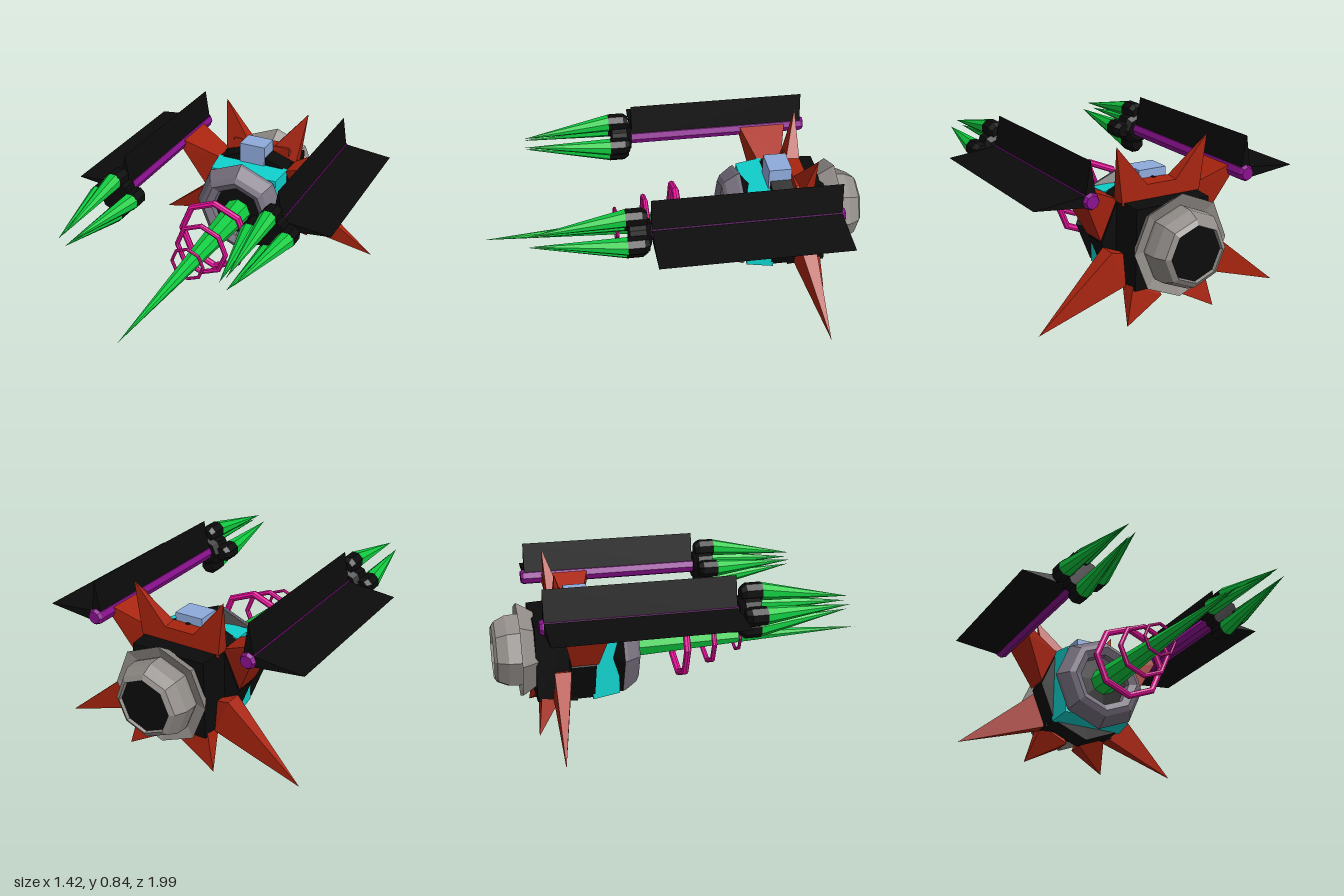
import * as THREE from 'three';
import { ConvexGeometry } from 'three/addons/geometries/ConvexGeometry.js';

const mat = (color) => new THREE.MeshStandardMaterial({ color, flatShading: true, side: THREE.DoubleSide });
const BLACK = mat(0x0b0b0b), RED = mat(0xa8240f), GREEN = mat(0x10cc40), CYAN = mat(0x10d0cc),
  PINK = mat(0xee10a0), PURPLE = mat(0x8a108f), BLUE = mat(0x8fabdc), SLATE = mat(0x77707e), GREY = mat(0x918c88);

const AXIS_Y = 0.37; // height of the hull axis

export function createModel() {
  const model = new THREE.Group();
  model.name = 'spacecraft';

  const add = (name, geometry, material, parent = model) => {
    const mesh = new THREE.Mesh(geometry, material);
    mesh.name = name;
    parent.add(mesh);
    return mesh;
  };
  // convex solid through a few corner points
  const hull = (points) => new ConvexGeometry(points.map((p) => new THREE.Vector3(...p)));
  // eight-sided solid of revolution along z, profile given as [radius, z] from back to front
  const turned = (profile, y = AXIS_Y, x = 0) =>
    new THREE.LatheGeometry(profile.map(([r, z]) => new THREE.Vector2(r, z)), 8)
      .rotateX(Math.PI / 2).translate(x, y, 0);
  // square frame of corners at depth z
  const frame = (h, z) => [[-h, AXIS_Y - h, z], [h, AXIS_Y - h, z], [h, AXIS_Y + h, z], [-h, AXIS_Y + h, z]];
  // line [a, b] in xy spread over two depths, giving four corners
  const quad = (a, b, z0, z1) => [[...a, z0], [...a, z1], [...b, z0], [...b, z1]];

  // central hull
  add('frontHull', hull([...frame(0.21, -0.52), ...frame(0.195, -0.38)]), CYAN);
  add('rearHull', hull([...frame(0.2, -0.8), ...frame(0.208, -0.6)]), BLACK);
  add('beltPlate', turned([[0, -0.635], [0.285, -0.635], [0.285, -0.51], [0, -0.51]]), BLACK);
  add('cockpit', new THREE.BoxGeometry(0.15, 0.13, 0.12).translate(0, 0.625, -0.56), BLUE);
  add('redCollar', hull([...quad([-0.17, 0.56], [0.17, 0.65], -0.63, -0.62),
    [-0.22, 0.56, -0.7], [0.22, 0.56, -0.7], [0.14, 0.645, -0.7], [-0.14, 0.645, -0.7], [-0.17, 0.65, -0.63], [0.17, 0.56, -0.63]]), RED);

  // front collar and recessed hub
  add('collarBack', turned([[0.2, -0.41], [0.265, -0.36]]), BLACK);
  add('frontCollar', turned([[0.268, -0.362], [0.262, -0.345], [0.22, -0.285], [0.19, -0.268], [0.15, -0.29], [0.14, -0.33]]), SLATE);
  add('frontHub', turned([[0.2, -0.4], [0.15, -0.32], [0, -0.31]]), BLACK);

  // nose lance with three octagonal rings
  const lance = new THREE.ConeGeometry(0.076, 1.32, 8).rotateX(Math.PI / 2).rotateX(0.013);
  add('noseLance', lance.translate(0, 0.356, 0.335), GREEN);
  for (const [outer, tube, z] of [[0.212, 0.019, -0.02], [0.155, 0.014, 0.14], [0.098, 0.009, 0.298]]) {
    add('lanceRing', new THREE.TorusGeometry(outer - tube, tube, 8, 8).translate(0, AXIS_Y, z), PINK);
  }

  // rear engine
  add('engineFlare', turned([[0.19, -0.85], [0.253, -0.87], [0.245, -0.855], [0.2, -0.785]], 0.384), GREY);
  add('engineBell', turned([[0.13, -0.97], [0.14, -1], [0.165, -0.985], [0.192, -0.93], [0.196, -0.87], [0.18, -0.8]], 0.384), GREY);
  add('engineNozzle', turned([[0, -0.985], [0.138, -0.985]], 0.384), BLACK);

  for (const s of [1, -1]) {
    const side = new THREE.Group();
    side.name = s > 0 ? 'leftSide' : 'rightSide';
    model.add(side);
    const px = 0.428, py = 0.645; // pod axis

    // strut between belt and pod
    add('podStrut', hull([
      ...quad([s * 0.29, 0.38], [s * 0.205, 0.575], -0.635, -0.5),
      ...quad([s * 0.405, 0.61], [s * 0.395, 0.665], -0.69, -0.44)]), RED, side);

    // radiating spikes: base edge, base depths, tip
    const spikes = [
      ['upperSpike', [0.215, 0.57], [0.075, 0.64], -0.7, -0.625, [0.25, 0.848, -0.7]],
      ['wideSpike', [0.28, 0.35], [0.2, 0.17], -0.72, -0.635, [0.67, 0.025, -0.73]],
      ['lowerSpike', [0.2, 0.19], [0.04, 0.11], -0.78, -0.68, [0.245, 0.003, -0.805]],
    ];
    for (const [name, a, b, z0, z1, tip] of spikes) {
      const inner = [s * (a[0] + b[0]) * 0.3, (a[1] + b[1]) * 0.3 + AXIS_Y * 0.4, (z0 + z1) / 2];
      add(name, hull([...quad([s * a[0], a[1]], [s * b[0], b[1]], z0, z1), inner,
        [s * tip[0], tip[1], tip[2]]]), RED, side);
    }

    // pod rail with one vane outwards and one upwards
    add('podRail', turned([[0, -0.8], [0.032, -0.8], [0.041, -0.785], [0.041, 0.18], [0, 0.18]], py, s * px), PURPLE, side);
    add('outerVane', hull([
      ...quad([s * px, py - 0.03], [s * px, py + 0.03], -0.78, 0.16),
      [s * 0.71, py, -0.78], [s * 0.71, py, 0.16]]), BLACK, side);
    add('upperVane', hull([
      ...quad([s * px - 0.03, py], [s * px + 0.03, py], -0.78, 0.16),
      [s * px, 0.83, -0.78], [s * px, 0.83, 0.16]]), BLACK, side);

    // pod head: four sockets each holding a long tooth
    add('headCore', turned([[0, 0.165], [0.065, 0.165], [0.09, 0.19], [0.09, 0.27], [0, 0.27]], py, s * px), BLACK, side);
    for (let i = 0; i < 4; i++) {
      const dx = Math.cos(i * Math.PI / 2), dy = Math.sin(i * Math.PI / 2);
      const ring = (r, off, z) => Array.from({ length: 8 }, (_, k) => {
        const t = (k + 0.5) * Math.PI / 4;
        return [s * px + dx * off + r * Math.cos(t), py + dy * off + r * Math.sin(t), z];
      });
      add('toothSocket', hull([...ring(0.036, 0.088, 0.18), ...ring(0.047, 0.095, 0.205), ...ring(0.047, 0.095, 0.285)]), BLACK, side);
      add('tooth', hull([...ring(0.046, 0.095, 0.285), [s * px + dx * 0.034, py + dy * 0.034, 0.745]]), GREEN, side);
    }
  }
  return model;
}
